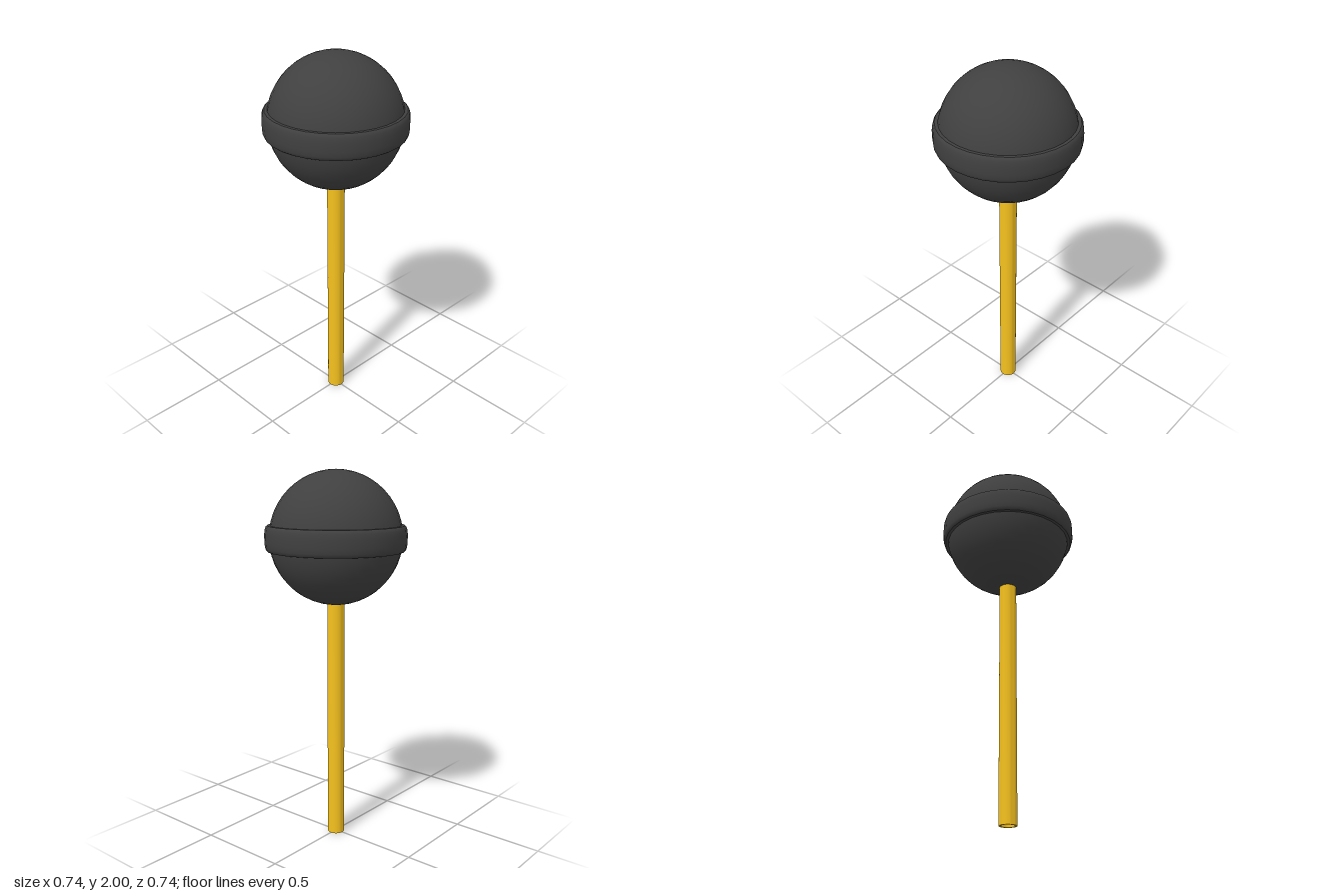
import * as THREE from 'three';
import { toCreasedNormals } from 'three/addons/utils/BufferGeometryUtils.js';

const SEGMENTS = 32;
const CENTER_Y = 1.653;
const BALL_RADIUS = 0.347;

// Revolve [radius, height] pairs, keeping the hard edges sharp
function revolve(points) {
  const profile = points.map(([r, y]) => new THREE.Vector2(r, y));
  return toCreasedNormals(new THREE.LatheGeometry(profile, SEGMENTS), 0.6);
}

export function createModel() {
  const model = new THREE.Group();
  const candyMaterial = new THREE.MeshStandardMaterial({ color: 0x404040 });
  const stickMaterial = new THREE.MeshStandardMaterial({ color: 0xf5c11e });

  function add(name, geometry, material, y = 0) {
    const mesh = new THREE.Mesh(geometry, material);
    mesh.name = name;
    mesh.position.y = y;
    model.add(mesh);
  }

  // Round candy
  add('candyBall', new THREE.SphereGeometry(BALL_RADIUS, SEGMENTS, 24), candyMaterial, CENTER_Y);

  // Raised band round the middle: flat faces, rounded outer edges
  const lower = [[0.33, -0.066], [0.356, -0.066], [0.362, -0.061], [0.367, -0.047], [0.37, -0.022]];
  const upper = lower.map(([r, y]) => [r, -y]).reverse();
  add('candyBand', revolve([...lower, ...upper]), candyMaterial, CENTER_Y);

  // Hollow stick, open at the bottom and sunk into the candy
  const outer = 0.046, inner = 0.036, top = 1.36;
  add('stick', revolve([[inner, top], [inner, 0], [outer, 0], [outer, top]]), stickMaterial);

  return model;
}
